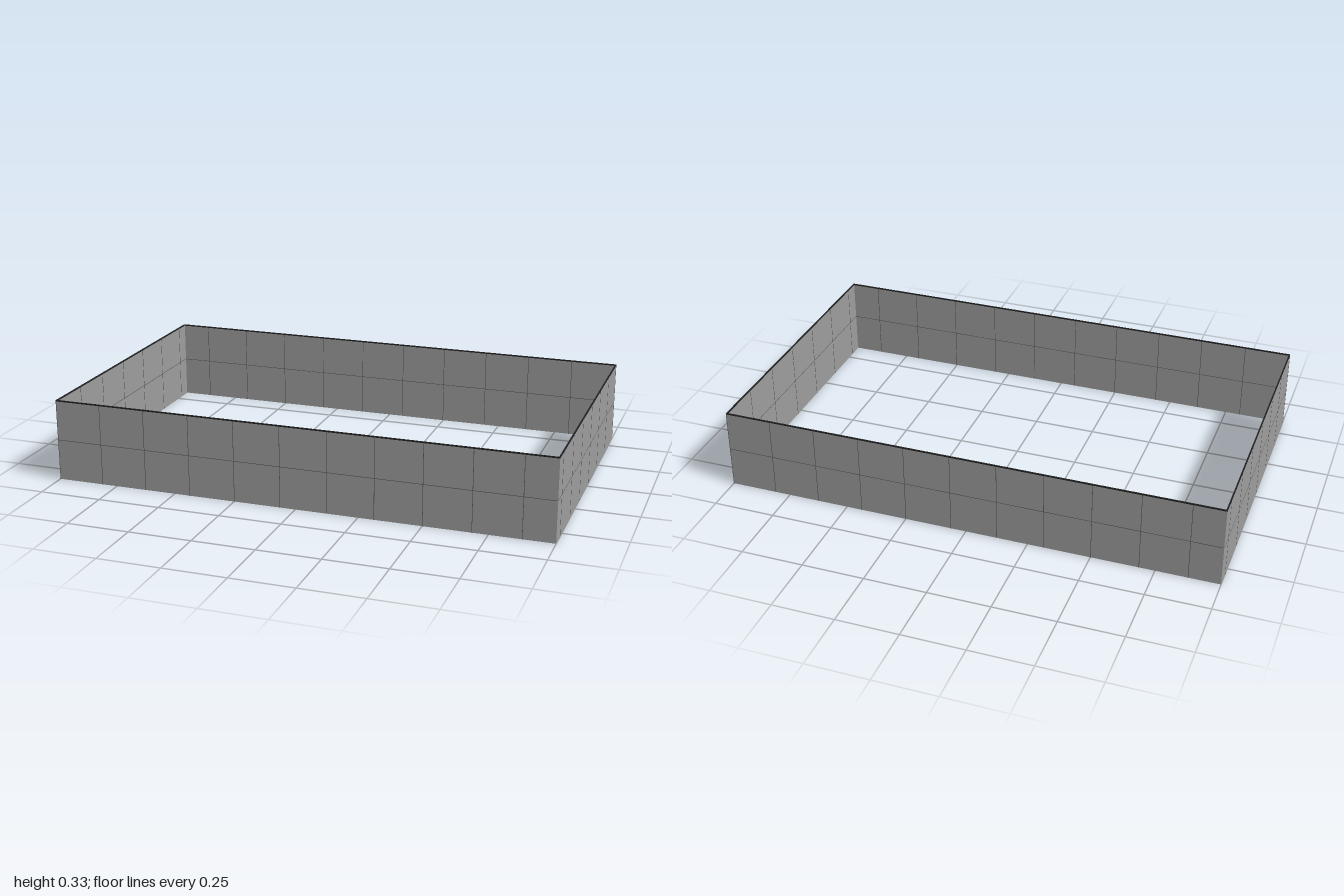
import * as THREE from 'three';

const HEIGHT = 0.33, THICK = 0.005, TILE = 0.1875;
const CAP = 0.005, SEAM = 0.002, PROUD = 0.0006;
const HALF_X = 1, HALF_Z = 0.6;

const wallMaterial = new THREE.MeshStandardMaterial({ color: 0x9d9d9d });
const seamMaterial = new THREE.MeshStandardMaterial({ color: 0x555555 });
const capMaterial = new THREE.MeshStandardMaterial({ color: 0x222222 });

function addBox(parent, name, material, size, position) {
  const mesh = new THREE.Mesh(new THREE.BoxGeometry(...size), material);
  mesh.name = name;
  mesh.position.set(...position);
  parent.add(mesh);
}

// A thin upright wall along local +x, its outer face on z = 0.
function makeWall(name, length) {
  const wall = new THREE.Group();
  wall.name = name;
  const bodyHeight = HEIGHT - CAP;
  const mid = -THICK / 2;
  const seamDepth = THICK + 2 * PROUD;

  addBox(wall, 'wallSheet', wallMaterial, [length, bodyHeight, THICK], [length / 2, bodyHeight / 2, mid]);
  addBox(wall, 'topEdge', capMaterial, [length, CAP, THICK], [length / 2, HEIGHT - CAP / 2, mid]);

  // Panel joints: one halfway up and one at the start of every panel.
  addBox(wall, 'levelJoint', seamMaterial, [length, SEAM, seamDepth], [length / 2, HEIGHT / 2, mid]);
  for (let x = 0; x < length; x += TILE) {
    addBox(wall, 'uprightJoint', seamMaterial, [SEAM, bodyHeight, seamDepth], [x + SEAM / 2, bodyHeight / 2, mid]);
  }
  return wall;
}

export function createModel() {
  const group = new THREE.Group();
  group.name = 'rectangularWallFrame';

  // Name, length, start corner (x, z) and turn; the walls follow each other round.
  const walls = [
    ['frontWall', 2 * HALF_X - THICK, -HALF_X, HALF_Z, 0],
    ['leftWall', 2 * HALF_Z - THICK, HALF_X, HALF_Z, Math.PI / 2],
    ['backWall', 2 * HALF_X - THICK, HALF_X, -HALF_Z, Math.PI],
    ['rightWall', 2 * HALF_Z - THICK, -HALF_X, -HALF_Z, -Math.PI / 2],
  ];
  for (const [name, length, x, z, turn] of walls) {
    const wall = makeWall(name, length);
    wall.position.set(x, 0, z);
    wall.rotation.y = turn;
    // The end walls lay their panels from the opposite corner.
    if (name === 'leftWall' || name === 'rightWall') {
      for (const part of wall.children) part.position.x = length - part.position.x;
    }
    group.add(wall);
  }
  return group;
}
